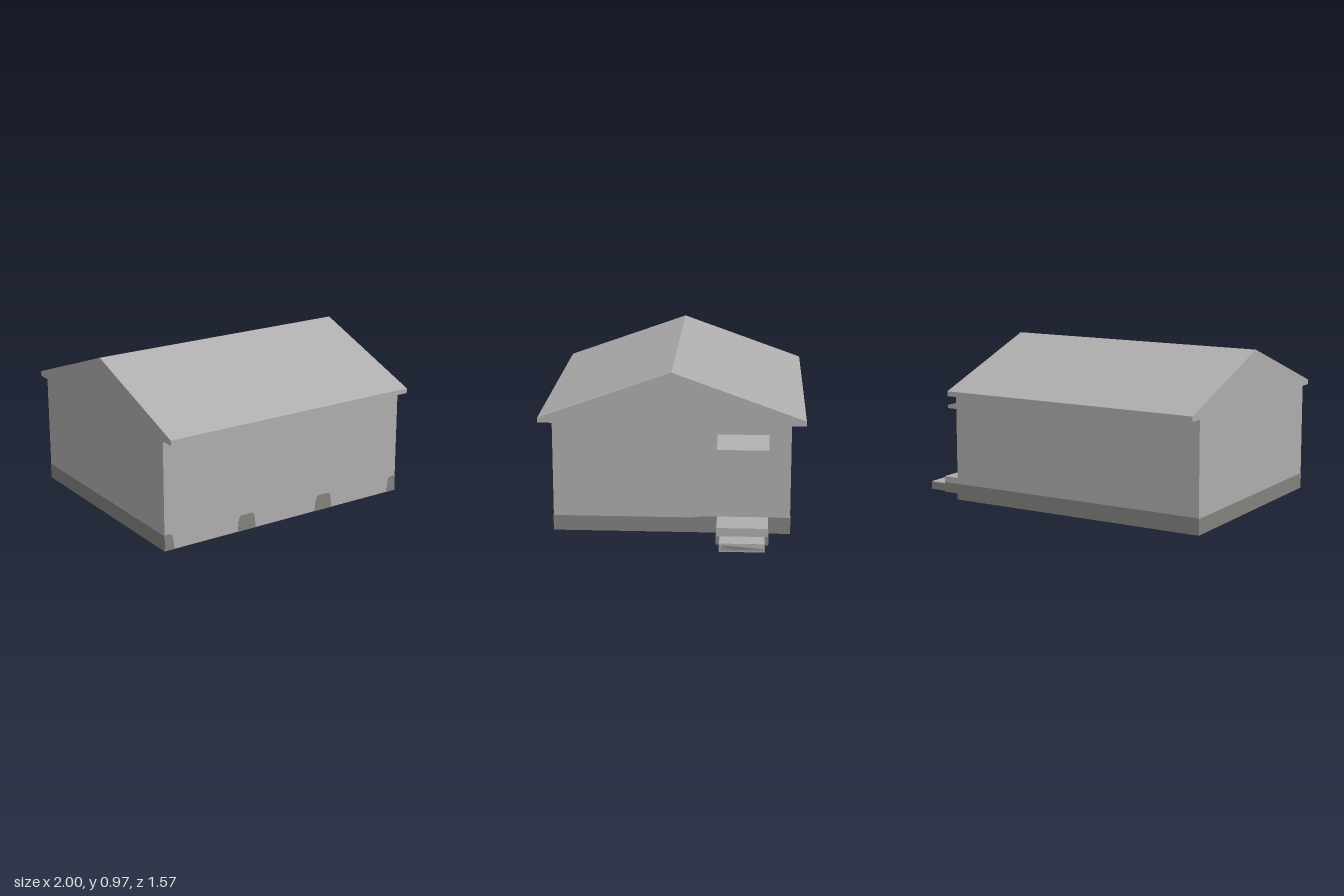
import * as THREE from 'three';

const plaster = new THREE.MeshStandardMaterial({ color: 0xb0adae, side: THREE.DoubleSide });
plaster.name = 'pale grey plaster';
const plinth = new THREE.MeshStandardMaterial({ color: 0x82827f, side: THREE.DoubleSide });
plinth.name = 'dark grey plinth';

const T = 0.004; // thickness of the painted plates

function add(parent, geometry, material, name) {
  const mesh = new THREE.Mesh(geometry, material);
  mesh.name = name;
  parent.add(mesh);
  return mesh;
}

// Open sheet following a profile in xy from z = a to z = b
function sheet(profile, a, b) {
  const v = [];
  for (let i = 0; i < profile.length - 1; i++) {
    const [x0, y0] = profile[i], [x1, y1] = profile[i + 1];
    v.push(x0, y0, a, x0, y0, b, x1, y1, b, x0, y0, a, x1, y1, b, x1, y1, a);
  }
  const g = new THREE.BufferGeometry();
  g.setAttribute('position', new THREE.Float32BufferAttribute(v, 3));
  g.computeVertexNormals();
  return g;
}

const shapeOf = (pts) => new THREE.Shape(pts.map(([x, y]) => new THREE.Vector2(x, y)));

// Hollow shell: sheet plus flat ends, open underneath
function shell(name, profile, outline, a, b) {
  const group = new THREE.Group();
  group.name = name;
  add(group, sheet(profile, a, b), plaster, name + 'Skin');
  add(group, new THREE.ShapeGeometry(shapeOf(outline)).translate(0, 0, b), plaster, name + 'EndA');
  const end = new THREE.ShapeGeometry(shapeOf(outline)).rotateY(Math.PI);
  end.scale(-1, 1, -1).translate(0, 0, a);
  add(group, end, plaster, name + 'EndB');
  return group;
}

// Thin plate lying in the plane z = at
function plate(pts, at) {
  return new THREE.ExtrudeGeometry(shapeOf(pts), { depth: T, bevelEnabled: false })
    .translate(0, 0, at - T / 2);
}

export function createModel() {
  const model = new THREE.Group();
  model.name = 'house';
  const X0 = -1, X1 = 0.68, Z = 0.7;

  // Walls, eaves and gabled roof as one open-bottomed shell
  const side = [[Z, 0], [Z, 0.66], [0.785, 0.66], [0.785, 0.69]];
  const section = [...side, [0, 0.97], ...side.map(([x, y]) => [-x, y]).reverse()];
  const body = shell('wallsAndRoof', section, section, X0, X1);
  body.rotation.y = Math.PI / 2;
  model.add(body);

  // Plinth band on the back and both gable walls
  add(model, plate([[X0, 0], [X1, 0], [X1, 0.1], [X0, 0.1]], -Z), plinth, 'backPlinth');
  add(model, plate([[-Z, 0], [Z, 0], [Z, 0.1], [0.19, 0.1], [0.12, 0.092], [-Z, 0.092]], X1)
    .rotateY(Math.PI / 2), plinth, 'leftPlinth');
  add(model, plate([[-Z, 0], [Z, 0], [Z, 0.095], [-Z, 0.095]], X0)
    .rotateY(Math.PI / 2), plinth, 'rightPlinth');

  // Rounded plinth openings along the front wall
  const arch = [[-0.063, 0], [-0.055, 0.07], [-0.05, 0.088], [-0.036, 0.098],
    [0.036, 0.098], [0.05, 0.088], [0.055, 0.07], [0.063, 0]];
  for (const c of [-1, -0.44, 0.12, 0.68]) {
    const half = c === X0 ? [[0, 0], [0, 0.098], ...arch.slice(4)]
      : c === X1 ? [...arch.slice(0, 4), [0, 0.098], [0, 0]] : arch;
    add(model, plate(half.map(([x, y]) => [x + c, y]), Z), plinth, 'frontVent');
  }

  // Sloping canopy over the entrance
  const canopy = [[X1, 0.605], [0.845, 0.56], [0.845, 0.54]];
  model.add(shell('canopy', canopy, [...canopy, [X1, 0.54]], -0.57, -0.27));

  // Two entrance steps with darker bases
  const steps = [
    { name: 'upperStep', x0: X1, x1: 0.88, h: 0.1, z0: -0.57, z1: -0.27, dark: 0.063 },
    { name: 'lowerStep', x0: 0.88, x1: 1, h: 0.05, z0: -0.55, z1: -0.29, dark: 0.047 },
  ];
  for (const { name, x0, x1, h, z0, z1, dark } of steps) {
    const top = [[x0, h], [x1, h], [x1, 0]];
    model.add(shell(name, top, [...top, [x0, 0]], z0, z1));
    for (const z of [z0, z1]) {
      add(model, plate([[x0, 0], [x1, 0], [x1, dark], [x0, dark - 0.003]], z), plinth, name + 'SideBase');
    }
  }
  add(model, plate([[0.29, 0], [0.55, 0], [0.55, 0.02], [0.4, 0.033], [0.31, 0.038], [0.29, 0.048]], 1 - T / 2)
    .rotateY(Math.PI / 2), plinth, 'lowerStepRiserBase');
  for (const z of [0.27, 0.55]) {
    add(model, plate([[z, 0], [z + 0.02, 0], [z + 0.02, 0.05], [z, 0.05]], 0.88)
      .rotateY(Math.PI / 2), plinth, 'upperStepRiserBase');
  }
  return model;
}
